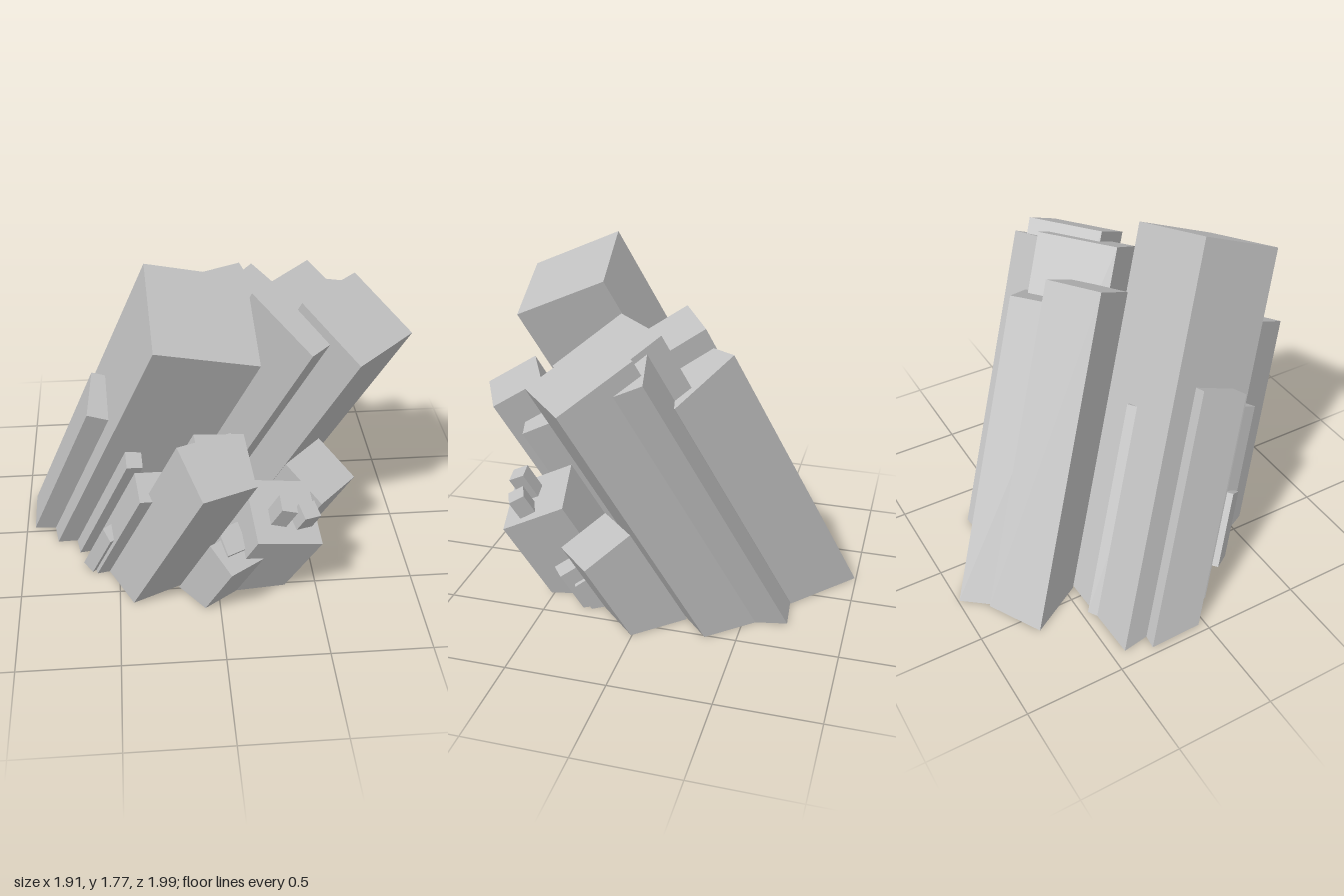
import * as THREE from 'three';

// All blocks share one leaning axis (LX, 1, LZ); their tops are square to it.
const LX = 0.335, LZ = 0.43, LEN2 = 1 + LX * LX + LZ * LZ;

// Four-sided leaning block. a, b, c are three consecutive top corners in plan [x, z];
// h sets the plane of the top, base (optional) the parallel plane it stands on.
function blockGeometry(h, a, b, c, base) {
  const d = [a[0] + c[0] - b[0], a[1] + c[1] - b[1]];
  let plan = [a, b, c, d];
  const turn = (b[1] - a[1]) * (c[0] - a[0]) - (b[0] - a[0]) * (c[1] - a[1]);
  if (turn < 0) plan = plan.reverse();
  const top = plan.map(([x, z]) => [x, h - LX * x - LZ * z, z]);
  const bottom = top.map(([x, y, z]) => {
    const s = base === undefined ? y : (h - base) / LEN2;
    return [x - LX * s, y - s, z - LZ * s];
  });
  const pos = [];
  const quad = (p, q, r, s) => pos.push(...p, ...q, ...r, ...p, ...r, ...s);
  quad(...top);
  quad(...[...bottom].reverse());
  for (let i = 0; i < 4; i++) {
    const j = (i + 1) % 4;
    quad(top[j], top[i], bottom[i], bottom[j]);
  }
  const g = new THREE.BufferGeometry();
  g.setAttribute('position', new THREE.Float32BufferAttribute(pos, 3));
  g.computeVertexNormals();
  return g;
}

export function createModel() {
  const group = new THREE.Group();
  group.name = 'leaningBlockCluster';
  const stone = new THREE.MeshStandardMaterial({ color: 0xc0c0c0 });
  stone.name = 'paleGrey';

  const blocks = [
    // tall columns
    ['mainTower', 1.805, [-0.32, 0.33], [0.14, 0.26], [0.16, 0.70]],
    ['rightTower', 1.70, [0.41, 0.205], [0.65, 0.47], [0.945, 0.21]],
    ['middleTower', 1.64, [0.48, -0.12], [0.18, 0.16], [0.435, 0.42]],
    ['backTower', 1.413, [-0.10, -0.09], [0.16, -0.246], [0.28, -0.03]],
    ['rearTower', 1.288, [0.51, -0.19], [0.24, -0.40], [0.01, -0.14]],
    ['rearRightTower', 1.605, [0.46, -0.055], [0.76, -0.115], [0.785, 0.16]],
    // columns against the main tower
    ['frontColumn', 1.354, [-0.21, 0.77], [0.04, 0.64], [0.14, 0.87]],
    ['sideColumn', 1.007, [-0.61, 0.41], [-0.585, 0.18], [-0.43, 0.177]],
    ['backColumn', 0.822, [-0.44, 0.033], [-0.295, -0.06], [-0.24, 0.03]],
    ['innerColumn', 1.163, [0.155, 0.71], [0.12, 0.46], [-0.12, 0.52]],
    ['slimColumn', 0.903, [-0.44, 0.46], [-0.365, 0.44], [-0.36, 0.52]],
    ['slimColumnInner', 0.86, [-0.40, 0.52], [-0.26, 0.48], [-0.24, 0.62]],
    ['leftStub', 0.342, [-0.57, 0.42], [-0.51, 0.37], [-0.475, 0.43]],
    // low blocks at the front and right
    ['centreBlock', 0.893, [0.13, 0.46], [0.165, 0.765], [0.485, 0.70]],
    ['rightBlock', 0.745, [0.57, 0.01], [0.735, 0.185], [0.535, 0.375]],
    ['frontBlock', 0.702, [-0.055, 0.675], [0.04, 0.80], [0.21, 0.68]],
    ['frontBlockInner', 0.72, [-0.01, 0.60], [0.09, 0.54], [0.13, 0.66]],
    ['rightStub', 0.551, [0.42, 0.46], [0.50, 0.40], [0.46, 0.325]],
    ['smallStub', 0.455, [0.42, 0.36], [0.48, 0.33], [0.45, 0.28]],
    // small boxes standing on the centre block
    ['roofBoxLeft', 1.062, [0.275, 0.64], [0.35, 0.635], [0.355, 0.71], 0.885],
    ['roofBoxRight', 1.02, [0.37, 0.63], [0.45, 0.595], [0.475, 0.665], 0.885],
  ];
  for (const [name, ...shape] of blocks) {
    const mesh = new THREE.Mesh(blockGeometry(...shape), stone);
    mesh.name = name;
    group.add(mesh);
  }
  return group;
}
